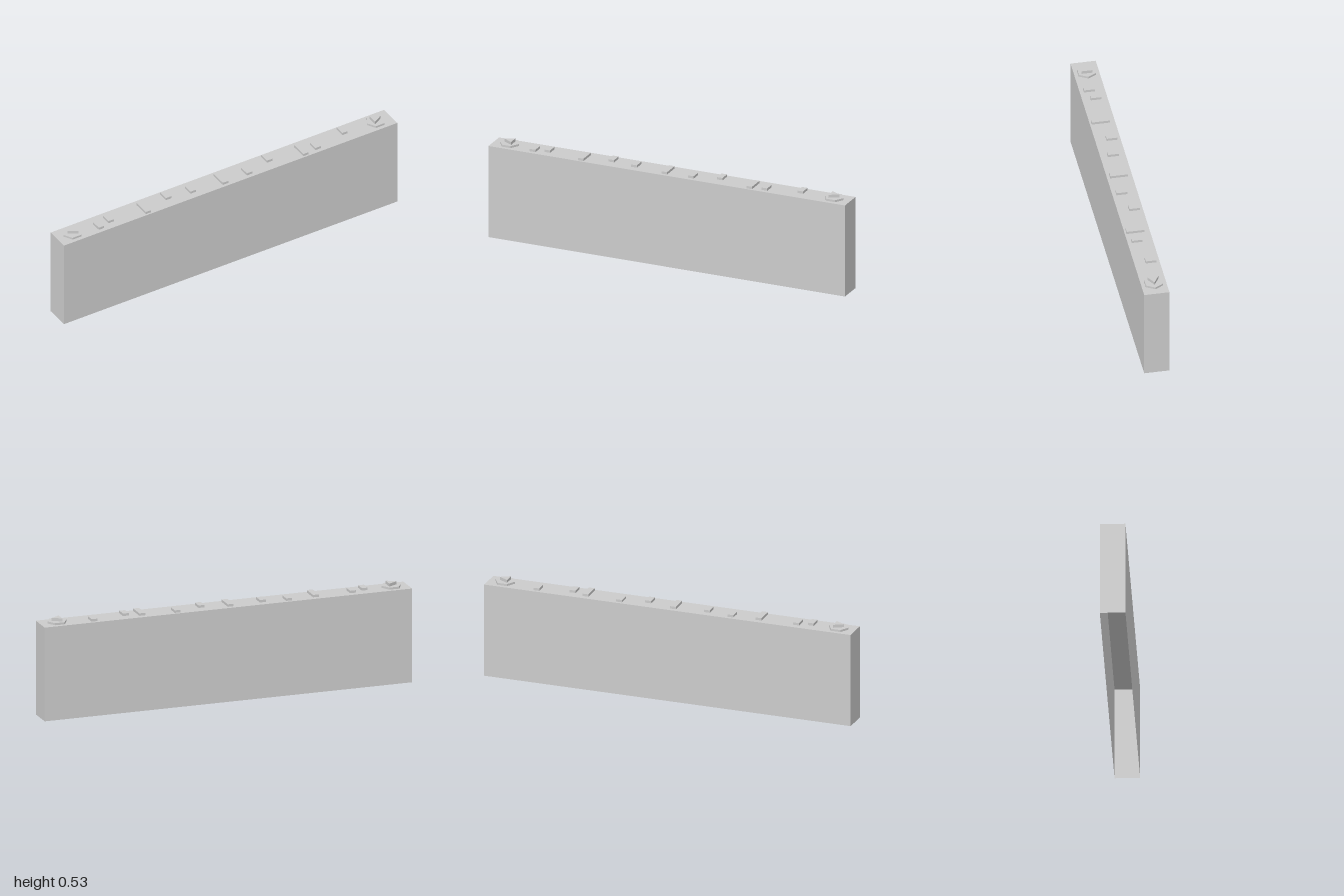
import * as THREE from 'three';

const LENGTH = 2, HEIGHT = 0.5, DEPTH = 0.131;

export function createModel() {
  const model = new THREE.Group();
  model.name = 'slab';
  const grey = new THREE.MeshStandardMaterial({ color: 0xcccccc, flatShading: true, side: THREE.DoubleSide });

  function add(name, geometry, x, y, z) {
    const mesh = new THREE.Mesh(geometry, grey);
    mesh.name = name;
    mesh.position.set(x, y, z);
    model.add(mesh);
  }

  // Thin-walled body, open underneath: drop the bottom face of the box
  const shell = new THREE.BoxGeometry(LENGTH, HEIGHT, DEPTH);
  const faces = Array.from(shell.index.array);
  faces.splice(18, 6);
  shell.setIndex(faces);
  shell.clearGroups();
  add('body', shell, 0, HEIGHT / 2, 0);

  // Small raised blocks along the top: [x, z, depth]
  const short = 0.056, long = 0.093, blockHeight = 0.013;
  const blocks = [
    [-0.762, 0.016, short], [-0.69, -0.006, short], [-0.487, 0.009, long],
    [-0.337, -0.02, short], [-0.201, -0.001, short], [-0.021, 0.003, long],
    [0.126, 0.017, short], [0.27, -0.022, short], [0.458, 0.009, long],
    [0.538, 0.016, short], [0.722, -0.021, short],
  ];
  blocks.forEach(([x, z, depth], i) => {
    add(`topBlock${i + 1}`, new THREE.BoxGeometry(0.032, blockHeight, depth), x, HEIGHT + blockHeight / 2, z);
  });

  // Hexagonal pad at each end with a triangle pointing outward
  const padHeight = 0.011, triangleHeight = 0.016;
  for (const [side, label] of [[1, 'left'], [-1, 'right']]) {
    const start = side * Math.PI / 2;
    add(`${label}HexPad`, new THREE.CylinderGeometry(0.052, 0.052, padHeight, 6, 1, false, start),
      side * 0.91, HEIGHT + padHeight / 2, 0);
    add(`${label}Triangle`, new THREE.CylinderGeometry(0.033, 0.033, triangleHeight, 3, 1, false, start),
      side * 0.906, HEIGHT + padHeight + triangleHeight / 2, 0);
  }

  return model;
}
